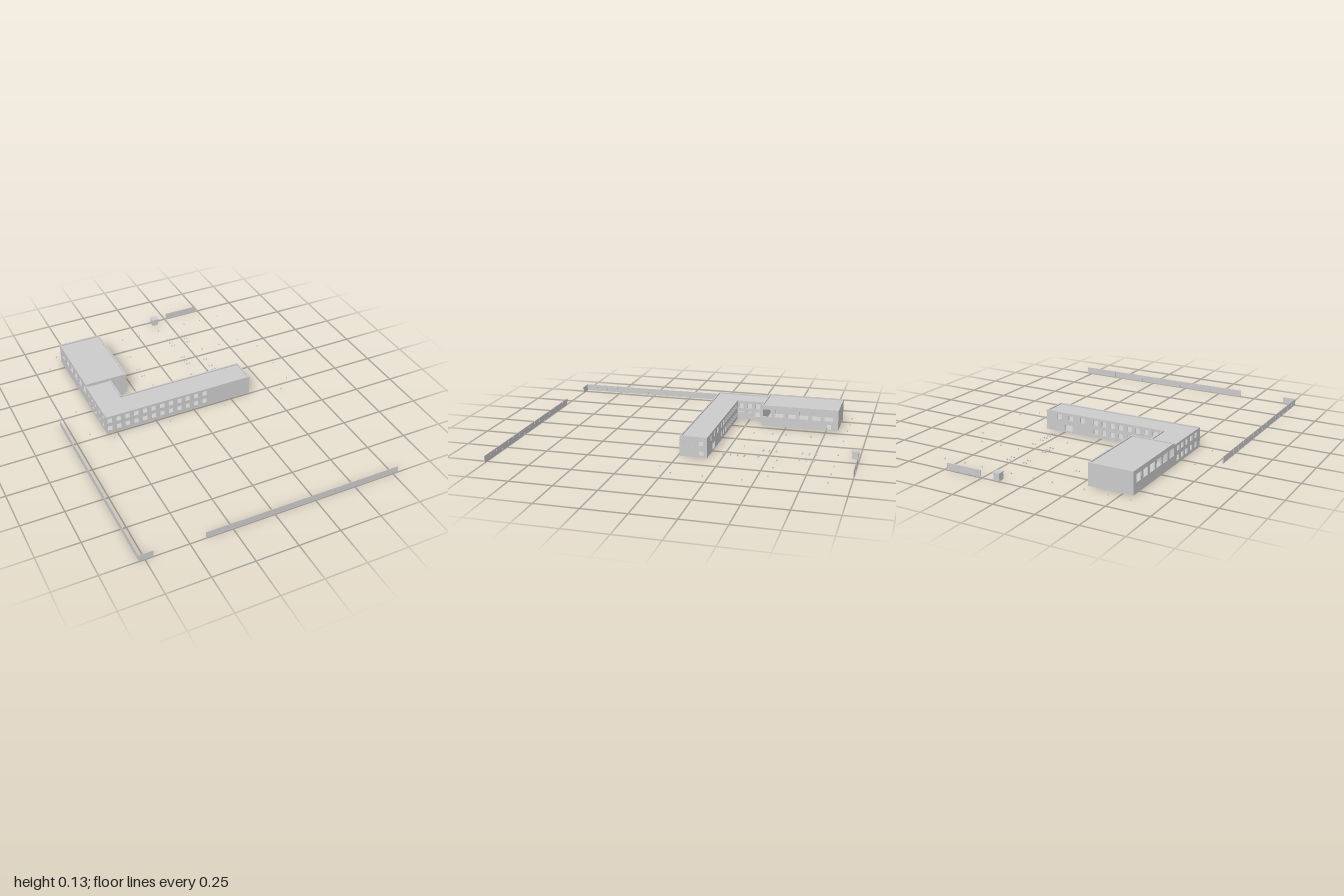
import * as THREE from 'three';

const material = new THREE.MeshStandardMaterial({ color: 0xcccccc, flatShading: true });
const T = 0.008; // wall thickness
const range = (n, start, step) => Array.from({ length: n }, (_, i) => start + i * step);

export function createModel() {
  const model = new THREE.Group();

  const add = (parent, name, geometry) => {
    const mesh = new THREE.Mesh(geometry, material);
    mesh.name = name;
    parent.add(mesh);
    return mesh;
  };
  const group = (name) => {
    const g = new THREE.Group();
    g.name = name;
    model.add(g);
    return g;
  };
  // Box given by its minimum and maximum on each axis
  const box = (parent, name, x0, x1, y0, y1, z0, z1) => {
    const mesh = add(parent, name, new THREE.BoxGeometry(x1 - x0, y1 - y0, z1 - z0));
    mesh.position.set((x0 + x1) / 2, (y0 + y1) / 2, (z0 + z1) / 2);
    return mesh;
  };

  // Row of equal openings: centres, width, bottom and top
  const row = (centres, width, bottom, top) => centres.map((c) => [c - width / 2, c + width / 2, bottom, top]);

  const wallGeometry = (a, b, height, openings) => {
    const shape = new THREE.Shape();
    shape.moveTo(a, 0).lineTo(b, 0).lineTo(b, height).lineTo(a, height).closePath();
    for (const [l, r, lo, hi] of openings) {
      const hole = new THREE.Path();
      hole.moveTo(l, lo).lineTo(l, hi).lineTo(r, hi).lineTo(r, lo).closePath();
      shape.holes.push(hole);
    }
    return new THREE.ExtrudeGeometry(shape, { depth: T, bevelEnabled: false });
  };
  // Wall along x; facing is +1 for front, -1 for back
  const wallX = (parent, name, x0, x1, z, facing, height, openings = []) => {
    add(parent, name, wallGeometry(x0, x1, height, openings)).position.z = facing > 0 ? z - T : z;
  };
  // Wall along z; facing is +1 for +x, -1 for -x
  const wallZ = (parent, name, z0, z1, x, facing, height, openings = []) => {
    const mesh = add(parent, name, wallGeometry(z0, z1, height, openings));
    mesh.rotation.y = -Math.PI / 2;
    mesh.position.x = facing > 0 ? x : x + T;
  };

  // L-shaped two-storey wing
  const W = -0.56, E = 0.38, S = -0.01, N = -0.17, INNER = -0.4, GYM_S = -0.345;
  const H = 0.12;
  const wing = group('classroomWing');
  const storeys = (centres, width) => [...row(centres, width, 0.02, 0.05), ...row(centres, width, 0.075, 0.105)];
  wallX(wing, 'frontWall', W, E, S, 1, H, storeys(range(12, -0.537, 0.0557), 0.03));
  wallX(wing, 'courtyardWall', INNER, E, N, -1, H, [
    ...storeys(range(8, -0.352, 0.0557), 0.03),
    ...row([0.13, 0.21, 0.29], 0.03, 0.075, 0.105),
    ...row([0.225], 0.05, 0.008, 0.045),
  ]);
  wallZ(wing, 'endWall', N, S, E, 1, H, [
    ...row([-0.135], 0.026, 0.07, 0.093),
    ...row([-0.135], 0.026, 0.012, 0.035),
  ]);
  wallZ(wing, 'outerSideWall', GYM_S, S, W, -1, H, storeys([-0.3, -0.246, -0.193, -0.13, -0.07], 0.03));
  wallZ(wing, 'innerSideWall', GYM_S, N, INNER, 1, H, [
    ...row([-0.3, -0.246, -0.193], 0.03, 0.072, 0.102),
    ...row([-0.246, -0.193], 0.03, 0.045, 0.055),
    ...row([-0.3], 0.03, 0.02, 0.05),
  ]);
  // Floors and the roof set below the parapet
  [['groundFloor', 0], ['upperFloor', 0.058], ['roof', 0.108]].forEach(([name, y]) => {
    box(wing, name, W + T, E - T, y, y + 0.005, N + T, S - T);
    box(wing, name, W + T, INNER - T, y, y + 0.005, GYM_S, N + T);
  });
  // Ledges and door leaf on the end wall
  for (const y of [0.055, 0.105]) box(wing, 'endLedge', E, E + 0.002, y, y + 0.003, N, S);
  box(wing, 'upperEndDoor', E, E + 0.003, 0.066, 0.09, -0.152, -0.148);

  // Sports hall
  const HALL_N = -0.82, HALL_E = -0.295, HALL_H = 0.132;
  const hall = group('sportsHall');
  const hallWindows = row(range(6, -0.762, 0.0764), 0.054, 0.06, 0.106);
  wallZ(hall, 'hallCourtyardWall', HALL_N, GYM_S, HALL_E, 1, HALL_H, [...hallWindows, ...row([-0.765], 0.026, 0.008, 0.038)]);
  wallZ(hall, 'hallOuterWall', HALL_N, GYM_S, W, -1, HALL_H, hallWindows);
  wallX(hall, 'hallBackWall', W, HALL_E, HALL_N, -1, HALL_H);
  wallX(hall, 'hallFrontWall', W, HALL_E, GYM_S, 1, HALL_H);
  for (const [name, y] of [['hallFloor', 0], ['hallRoof', 0.12]]) {
    box(hall, name, W + T, HALL_E - T, y, y + 0.005, HALL_N + T, GYM_S - T);
  }

  // Perimeter fence, built from equal panels with a post at each joint
  const fence = group('fence');
  const FH = 0.042;
  const fenceRun = (x, z, length, count, alongZ) => {
    const run = new THREE.Group();
    run.name = 'fenceRun';
    const step = length / count;
    for (let i = 0; i < count; i++) {
      box(run, 'fencePanel', i * step + 0.001, (i + 1) * step - 0.001, 0.001, FH, -0.001, 0.001);
    }
    for (let i = 0; i <= count; i++) {
      box(run, 'fencePost', i * step - 0.0015, i * step + 0.0015, 0, FH, -0.002, 0.002);
    }
    run.position.set(x, 0, z);
    if (alongZ) run.rotation.y = -Math.PI / 2;
    fence.add(run);
  };
  fenceRun(-0.405, 0.998, 1.185, 16, false);
  fenceRun(-0.783, 0.998, 0.078, 1, false);
  fenceRun(-0.783, -0.192, 1.19, 16, true);
  fenceRun(0.26, -0.998, 0.22, 3, false);

  // Gate hut
  const hut = group('gateHut');
  box(hut, 'hutBody', 0.143, 0.181, 0, 0.04, -0.994, -0.957);
  box(hut, 'hutRoof', 0.14, 0.184, 0.04, 0.045, -0.997, -0.954);

  // Low lamps around the grounds
  const lamps = group('groundLamps');
  const lamp = (x, z) => {
    add(lamps, 'groundLamp', new THREE.CylinderGeometry(0.003, 0.004, 0.009, 8)).position.set(x, 0.0045, z);
  };
  [-0.575, -0.445, -0.305, -0.11, 0.01, 0.15, 0.34, 0.46, 0.595].forEach((x) => lamp(x, -0.877));
  [-0.767, -0.503, -0.283, -0.045].forEach((z) => lamp(-0.655, z));
  [-0.535, -0.178, 0.187, 0.577].forEach((x) => lamp(x, 0.045));
  [-0.434, -0.217, -0.04].forEach((z) => lamp(0.667, z));
  [0.323, 0.447, 0.582].forEach((x) => lamp(x, -0.557));
  [-0.127, 0, 0.135].forEach((x) => lamp(x, -0.332));

  // Pairs of small seats in the yard
  const seats = group('yardSeats');
  const seat = (x, z) => box(seats, 'yardSeat', x - 0.003, x + 0.003, 0, 0.006, z - 0.004, z + 0.004);
  const seatPairs = (x, zs) => zs.forEach((z) => [-0.009, 0.009].forEach((d) => seat(x + d, z)));
  seatPairs(-0.145, [-0.757, -0.677]);
  seatPairs(-0.145, [-0.527, -0.447]);
  seatPairs(0.17, [-0.757, -0.717, -0.677]);
  seatPairs(0.28, [-0.757, -0.717, -0.677]);
  seatPairs(0.17, [-0.527, -0.487, -0.45]);
  seatPairs(0.292, [-0.445, -0.365, -0.325, -0.285, -0.243]);
  seat(-0.242, -0.255);
  seat(-0.242, -0.22);
  seat(-0.206, -0.22);

  return model;
}
